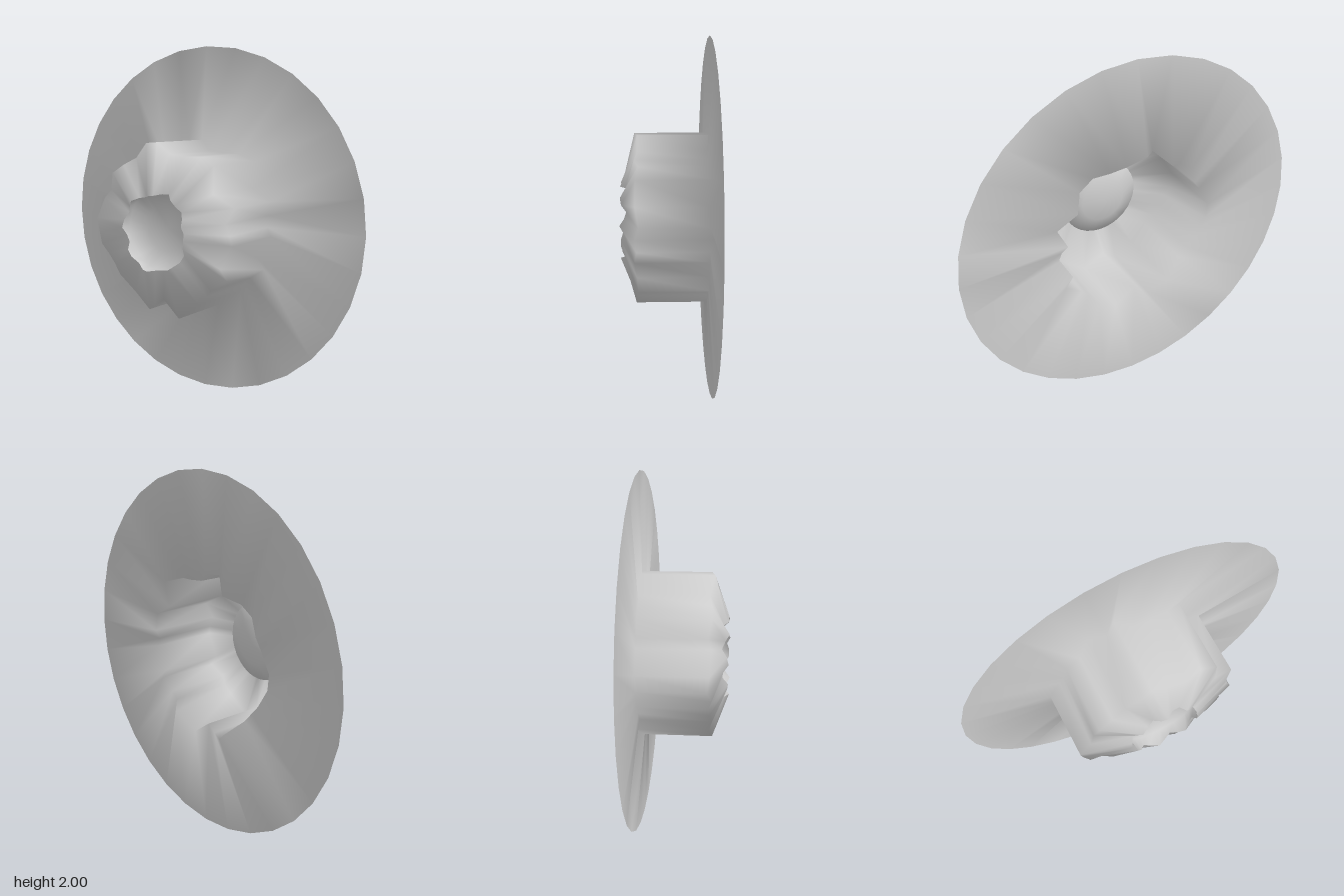
import * as THREE from 'three';

const N = 32;
const material = new THREE.MeshStandardMaterial({ color: 0xcccccc, side: THREE.DoubleSide });

// Ragged outline of the crater wall, counter-clockwise from +x
const outline = [
  [0.43, 0], [0.41, 0.06], [0.45, 0.145], [0.33, 0.21], [0.33, 0.36], [0.24, 0.4], [0.14, 0.4], [0.04, 0.41],
  [-0.05, 0.47], [-0.11, 0.465], [-0.2, 0.38], [-0.28, 0.34], [-0.36, 0.29], [-0.39, 0.19], [-0.42, 0.145], [-0.49, 0.02],
  [-0.48, -0.07], [-0.445, -0.125], [-0.41, -0.18], [-0.36, -0.235], [-0.31, -0.29], [-0.21, -0.385], [-0.1, -0.465], [-0.06, -0.44],
  [-0.01, -0.4], [0.11, -0.485], [0.235, -0.39], [0.28, -0.34], [0.32, -0.3], [0.41, -0.24], [0.37, -0.18], [0.45, -0.05],
];
// Radius of the pit opening every 22.5 degrees
const pitRadii = [0.19, 0.19, 0.2, 0.215, 0.19, 0.19, 0.215, 0.215, 0.22, 0.21, 0.225, 0.245, 0.22, 0.225, 0.225, 0.21];
// Points of the wall foot that dip behind the disc
const dips = { 1: -0.25, 4: -0.24, 8: -0.26, 10: -0.27, 21: -0.27, 26: -0.255 };

const ring = (fn) => Array.from({ length: N }, (_, k) => fn(k, (k / N) * Math.PI * 2));
const polar = (r, a, z) => [r * Math.cos(a), r * Math.sin(a), z];
const pitRadius = (k) => (pitRadii[k >> 1] + pitRadii[((k + 1) >> 1) % 16]) / 2;

// Joins closed rings, outermost first, and optionally closes the last one at a centre point
function loft(name, rings, centre) {
  const points = rings.flat();
  const index = [];
  for (let i = 0; i < rings.length - 1; i++) {
    for (let k = 0; k < N; k++) {
      const a = i * N + k, b = i * N + ((k + 1) % N);
      index.push(a, b, b + N, a, b + N, a + N);
    }
  }
  if (centre) {
    const last = (rings.length - 1) * N;
    for (let k = 0; k < N; k++) index.push(last + k, last + ((k + 1) % N), points.length);
    points.push(centre);
  }
  const geometry = new THREE.BufferGeometry();
  geometry.setAttribute('position', new THREE.Float32BufferAttribute(points.flat(), 3));
  geometry.setIndex(index);
  geometry.computeVertexNormals();
  const mesh = new THREE.Mesh(geometry, material);
  mesh.name = name;
  return mesh;
}

export function createModel() {
  const group = new THREE.Group();
  group.name = 'crater';

  const edge = ring((k, a) => polar(1, a, -0.23));
  const foot = ring((k) => [...outline[k], dips[k] ?? -0.21]);
  const crest = ring((k) => [...outline[k], 0.17 + 0.012 * Math.sin(k * 2.3)]);
  const lip = ring((k, a) => polar(pitRadius(k), a, 0.245 + 0.02 * Math.sin(k * 1.7)));
  const pitWall = ring((k, a) => polar(0.23, a, 0.18));
  const pitFloor = ring((k, a) => polar(0.13, a, 0.14));

  // Round ground sheet rising into the wall and sloping up to the lip
  group.add(loft('groundAndRim', [edge, foot, crest, lip]));
  // Shallow bowl behind the lip
  group.add(loft('pit', [lip, pitWall, pitFloor], [0, 0, 0.125]));

  group.position.y = 1;
  const model = new THREE.Group();
  model.add(group);
  return model;
}
